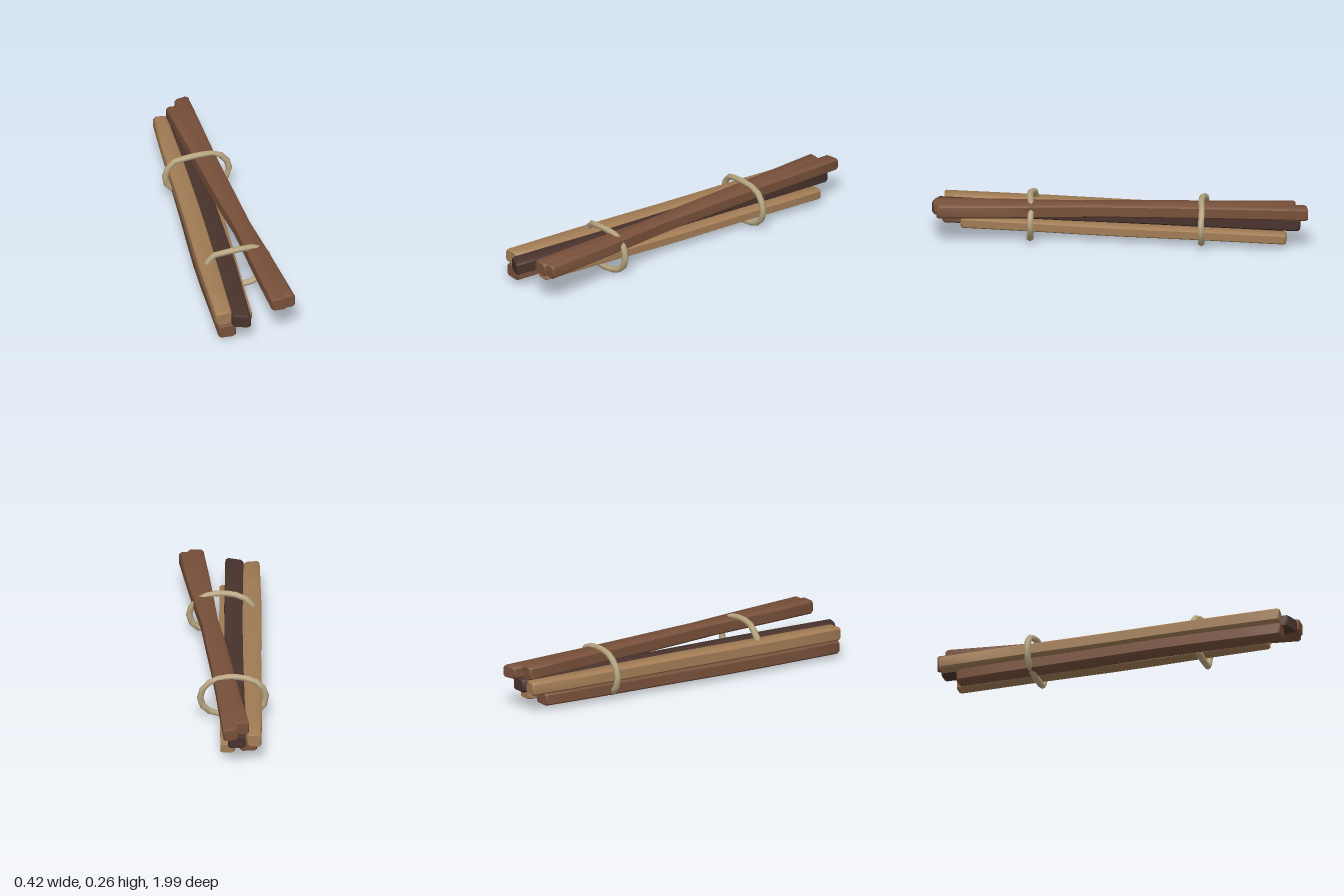
import * as THREE from 'three';
import { toCreasedNormals } from 'three/addons/utils/BufferGeometryUtils.js';

const tan = new THREE.MeshStandardMaterial({ name: 'tan wood', color: 0xa27c55 });
const brown = new THREE.MeshStandardMaterial({ name: 'brown wood', color: 0x78503a });
const dark = new THREE.MeshStandardMaterial({ name: 'dark wood', color: 0x49332c });
const twine = new THREE.MeshStandardMaterial({ name: 'rope', color: 0xb8a680 });

// Octagonal, chamfered stick lofted from back to front.
// from / to: [x, y, z, width, height, slant of the cut end]
function stickGeometry(from, to, bow, bulge) {
  const steps = 8, sides = 8, c = 0.7;
  const outline = [[1, -c], [1, c], [c, 1], [-c, 1], [-1, c], [-1, -c], [-c, -1], [c, -1]];
  const stations = [[0, 0.85]];
  for (let i = 0; i <= steps; i++) stations.push([0.006 + 0.988 * i / steps, 1]);
  stations.push([1, 0.85]);

  const pos = [], index = [];
  stations.forEach(([t, scale]) => {
    const mix = (k) => from[k] + (to[k] - from[k]) * t;
    const swell = Math.sin(Math.PI * t);
    const w = (mix(3) + bulge * swell) * scale / 2;
    const h = mix(4) * scale / 2;
    const wave = 0.004 * Math.sin(t * 9 + from[0] * 40);
    for (const [u, v] of outline) {
      pos.push(mix(0) + bow * swell + wave * swell + u * w, mix(1) + v * h, mix(2) + mix(5) * u * w);
    }
  });
  const rings = stations.length;
  for (let r = 0; r < rings - 1; r++) {
    for (let s = 0; s < sides; s++) {
      const a = r * sides + s, b = r * sides + (s + 1) % sides;
      index.push(a, b, b + sides, a, b + sides, a + sides);
    }
  }
  // End caps
  const last = (rings - 1) * sides;
  for (let s = 1; s < sides - 1; s++) {
    index.push(0, s + 1, s);
    index.push(last, last + s, last + s + 1);
  }
  const geometry = new THREE.BufferGeometry();
  geometry.setAttribute('position', new THREE.Float32BufferAttribute(pos, 3));
  geometry.setIndex(index);
  return toCreasedNormals(geometry, 0.85);
}

// Uneven hand-tied loop of rope
function ropeGeometry(bend) {
  const loop = [
    [0.045, 0.243], [-0.05, 0.233], [-0.11, 0.212], [-0.148, 0.165], [-0.155, 0.105],
    [-0.125, 0.05], [-0.06, 0.025], [0, 0.019], [0.085, 0.027], [0.15, 0.055],
    [0.187, 0.11], [0.178, 0.175], [0.13, 0.226],
  ].map(([x, y]) => new THREE.Vector3(x, y, bend * (Math.abs(x - 0.02) < 0.1 ? 1 : -0.6)));
  const path = new THREE.CatmullRomCurve3(loop, true);
  return new THREE.TubeGeometry(path, 18, 0.0175, 6, true);
}

export function createModel() {
  const model = new THREE.Group();
  model.name = 'firewoodBundle';
  const add = (name, geometry, material) => {
    const mesh = new THREE.Mesh(geometry, material);
    mesh.name = name;
    model.add(mesh);
    return mesh;
  };

  // Sticks: name, material, back end, front end, sideways bow, bulge
  const sticks = [
    ['lowerBrownStick', brown, [-0.04, 0.06, -0.85, 0.09, 0.07, 0], [-0.152, 0.058, 0.945, 0.095, 0.075, 0], -0.01, 0.015],
    ['lowerTanStick', tan, [0.072, 0.063, -0.88, 0.075, 0.055, 0], [-0.03, 0.063, 0.84, 0.07, 0.055, 0], 0, 0.012],
    ['middleTanStick', tan, [-0.064, 0.136, -0.94, 0.075, 0.072, 0.1], [-0.17, 0.135, 0.94, 0.086, 0.075, -0.1], 0.004, 0.022],
    ['middleDarkStick', dark, [0.028, 0.134, -0.95, 0.092, 0.072, 0], [-0.083, 0.131, 0.982, 0.094, 0.073, 0.35], 0.004, 0.01],
    ['upperBrownStickA', brown, [0.06, 0.202, -0.99, 0.08, 0.068, -0.25], [0.124, 0.201, 0.97, 0.085, 0.074, 0], -0.006, 0.006],
    ['upperBrownStickB', brown, [0.005, 0.201, -0.92, 0.09, 0.074, 0], [0.17, 0.198, 0.95, 0.085, 0.076, 0], -0.006, 0.004],
  ];
  for (const [name, material, back, front, bow, bulge] of sticks) {
    add(name, stickGeometry(back, front, bow, bulge), material);
  }

  // Rope ties
  add('frontRope', ropeGeometry(0.009), twine).position.z = 0.463;
  add('backRope', ropeGeometry(0.006), twine).position.z = -0.438;
  return model;
}
